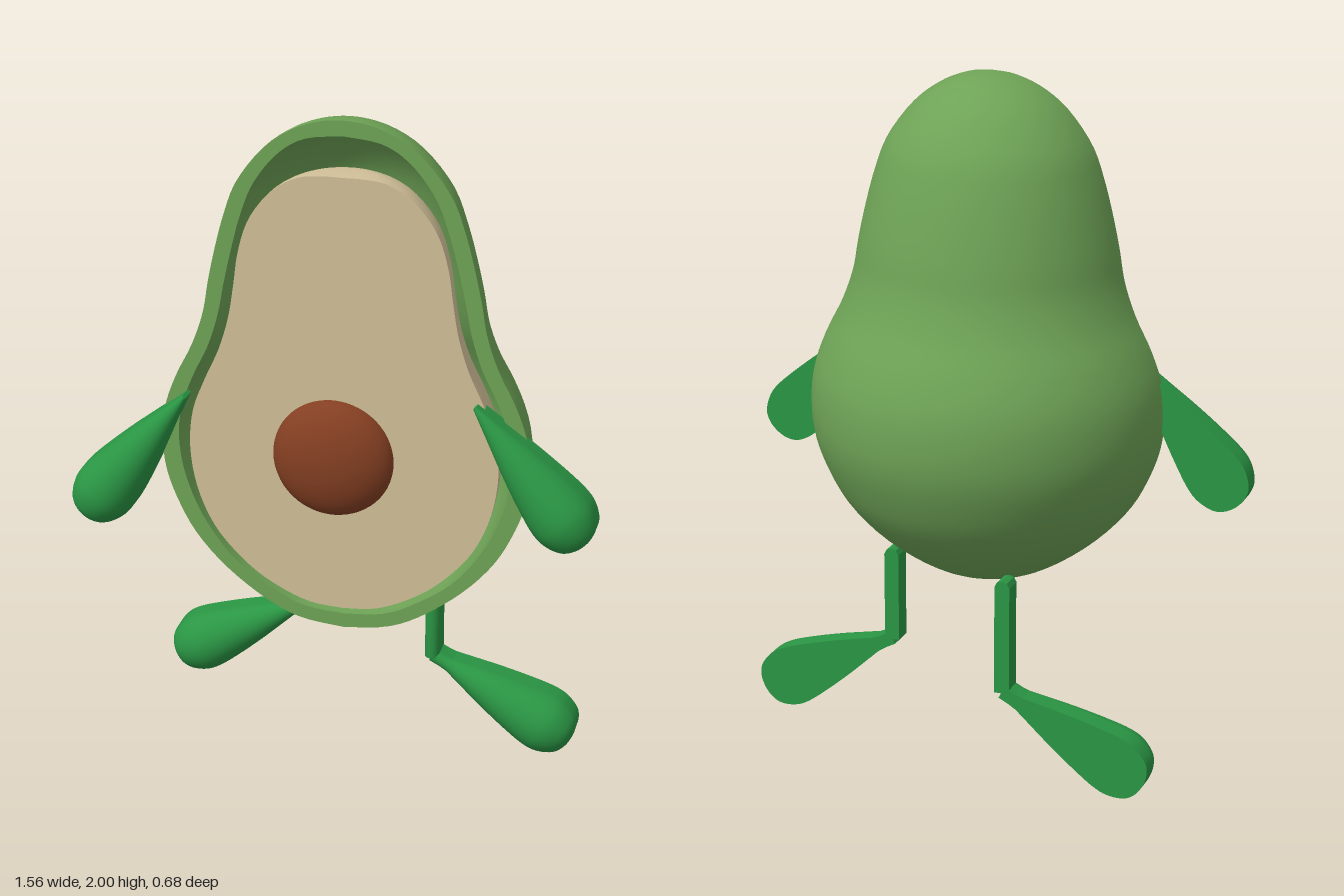
import * as THREE from 'three';

const mat = (color, side = THREE.FrontSide) =>
  new THREE.MeshStandardMaterial({ color, side, roughness: 0.8 });

// Smooth half outline from [radius, height] pairs, bottom to top
const smooth = (pairs, n) =>
  new THREE.SplineCurve(pairs.map(([r, y]) => new THREE.Vector2(r, y)))
    .getPoints(n)
    .map((p) => new THREE.Vector2(Math.max(p.x, 0), p.y));

// Both halves of a profile as a closed loop
const loop = (pts) => [
  ...pts,
  ...pts.filter((p) => p.x > 1e-4).reverse().map((p) => new THREE.Vector2(-p.x, p.y)),
];

function add(parent, name, geometry, material) {
  const mesh = new THREE.Mesh(geometry, material);
  mesh.name = name;
  parent.add(mesh);
  return mesh;
}

// Limb piece: rounded front, straight sides and a flat back, running from a to b
function limb(name, profile, a, b, z, material) {
  const BACK = 0.054;
  const group = new THREE.Group();
  group.name = name;
  add(group, name + 'Front', new THREE.LatheGeometry(profile, 24, -Math.PI / 2, Math.PI), material);
  const back = new THREE.ExtrudeGeometry(new THREE.Shape(loop(profile)), {
    depth: BACK, bevelEnabled: false,
  });
  back.translate(0, 0, -BACK);
  add(group, name + 'Back', back, material);
  group.position.set(a[0], a[1], z);
  group.rotation.z = Math.atan2(a[0] - b[0], b[1] - a[1]);
  return group;
}

export function createModel() {
  const model = new THREE.Group();
  model.name = 'avocadoFigure';

  const skin = mat(0x6ea356, THREE.DoubleSide);
  const cream = mat(0xd2c199, THREE.DoubleSide);
  const limbGreen = mat(0x2a9644, THREE.DoubleSide);

  // Profiles of the pear-shaped half
  const outer = smooth([
    [0, 0.445], [0.13, 0.462], [0.235, 0.51], [0.355, 0.6], [0.445, 0.7], [0.5, 0.8],
    [0.535, 0.9], [0.545, 1.0], [0.535, 1.1], [0.5, 1.2], [0.45, 1.3], [0.415, 1.4],
    [0.397, 1.5], [0.375, 1.6], [0.348, 1.7], [0.31, 1.8], [0.235, 1.9], [0.155, 1.96],
    [0.07, 1.993], [0, 2.0],
  ], 70);
  const inner = smooth([
    [0, 0.49], [0.12, 0.503], [0.22, 0.55], [0.33, 0.63], [0.42, 0.75], [0.475, 0.88],
    [0.495, 1.0], [0.485, 1.1], [0.45, 1.2], [0.402, 1.3], [0.37, 1.4], [0.35, 1.5],
    [0.327, 1.6], [0.3, 1.7], [0.26, 1.8], [0.19, 1.89], [0.11, 1.94], [0, 1.955],
  ], 70);
  const flesh = smooth([
    [0, 0.515], [0.1, 0.525], [0.2, 0.567], [0.29, 0.63], [0.38, 0.73], [0.435, 0.85],
    [0.457, 0.98], [0.447, 1.1], [0.41, 1.2], [0.365, 1.3], [0.335, 1.4], [0.318, 1.5],
    [0.303, 1.6], [0.27, 1.7], [0.205, 1.785], [0.13, 1.83], [0.06, 1.84], [0, 1.84],
  ], 70);
  const halfLathe = (pts) => new THREE.LatheGeometry(pts, 48, Math.PI / 2, Math.PI);

  // Body: outer skin, cavity wall and the rim joining them
  const body = new THREE.Group();
  body.name = 'body';
  body.position.set(0.035, 0, 0.203);
  add(body, 'skin', halfLathe(outer), skin);
  add(body, 'cavityWall', halfLathe(inner), skin);
  const rim = new THREE.Shape(loop(outer));
  rim.holes.push(new THREE.Path(loop(inner)));
  add(body, 'rim', new THREE.ShapeGeometry(rim), skin);

  // Flesh standing slightly proud of the rim
  const core = new THREE.Group();
  core.name = 'flesh';
  core.position.z = 0.014;
  add(core, 'fleshBack', halfLathe(flesh), cream);
  add(core, 'fleshFace', new THREE.ShapeGeometry(new THREE.Shape(loop(flesh))), cream);
  body.add(core);
  model.add(body);

  // Seed
  const seed = add(model, 'seed', new THREE.SphereGeometry(0.18, 40, 28), mat(0x843f22));
  seed.position.set(0.008, 0.995, 0.207);
  seed.scale.z = 0.52;

  // Arms and feet share a teardrop profile
  const drop = smooth([
    [0.006, 0], [0.032, 0.1], [0.058, 0.2], [0.08, 0.3], [0.093, 0.38], [0.09, 0.43],
    [0.068, 0.477], [0.035, 0.499], [0, 0.505],
  ], 36);
  const footDrop = drop.map((p) => new THREE.Vector2(p.y < 0.1 ? Math.max(p.x, 0.02) : p.x, p.y * 0.97));
  model.add(
    limb('leftArm', drop, [0.425, 1.2], [0.685, 0.885], 0.24, limbGreen),
    limb('rightArm', drop, [-0.43, 1.15], [-0.685, 0.825], 0.24, limbGreen),
  );

  // Legs: one stands further back than the other
  const leg = (side, x, top, z, toe) => {
    const h = top - 0.275;
    const shin = [[0, 0], [0.023, 0], [0.023, h - 0.02], [0.015, h - 0.005], [0, h]]
      .map(([r, y]) => new THREE.Vector2(r, y));
    model.add(
      limb(side + 'Shin', shin, [x, 0.275], [x, top], z, limbGreen),
      limb(side + 'Foot', footDrop, [x, 0.278], toe, z, limbGreen),
    );
  };
  leg('left', 0.262, 0.57, -0.001, [0.6, 0.1]);
  leg('right', -0.192, 0.625, -0.26, [-0.535, 0.1]);

  return model;
}
